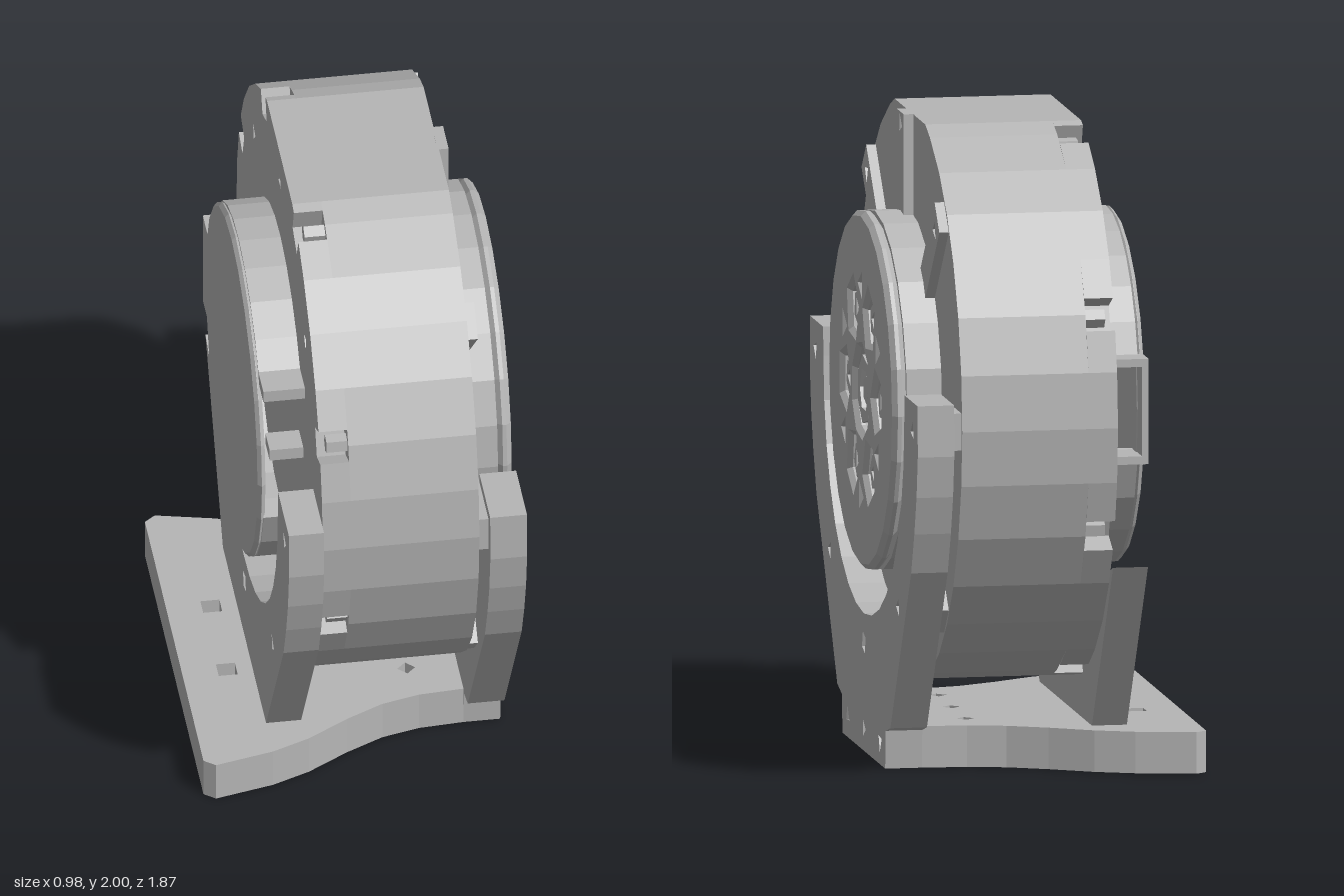
import * as THREE from 'three';

const CY = 1.13; // height of the drum axis
const steel = new THREE.MeshStandardMaterial({ color: 0xb6b6b6, flatShading: true });
steel.name = 'plain grey';

const rad = (d) => (d * Math.PI) / 180;
const polar = (r, deg, cy = CY) => [r * Math.cos(rad(deg)), cy + r * Math.sin(rad(deg))];
const ngon = (u, v, r, n, turn = 0) =>
  Array.from({ length: n }, (_, i) => {
    const a = turn + (i / n) * Math.PI * 2;
    return [u + r * Math.cos(a), v + r * Math.sin(a)];
  });
const toVec = (pts) => pts.map(([u, v]) => new THREE.Vector2(u, v));

export function createModel() {
  const model = new THREE.Group();

  const add = (geometry, name) => {
    const mesh = new THREE.Mesh(geometry, steel);
    mesh.name = name;
    model.add(mesh);
    return mesh;
  };
  // Plate with a side profile (u = -z, v = y), spanning x0 to x1
  const plate = (name, pts, x0, x1, holes = [], bevel = 0) => {
    const shape = new THREE.Shape(toVec(pts));
    for (const h of holes) shape.holes.push(new THREE.Path(toVec(h)));
    const g = new THREE.ExtrudeGeometry(shape, {
      depth: x1 - x0 - 2 * bevel, curveSegments: 1, bevelEnabled: bevel > 0,
      bevelThickness: bevel, bevelSize: bevel, bevelOffset: -bevel, bevelSegments: 1,
    });
    g.translate(0, 0, x0 + bevel);
    g.rotateY(Math.PI / 2);
    return add(g, name);
  };
  const box = (name, x0, x1, y0, y1, z0, z1) => {
    const g = new THREE.BoxGeometry(x1 - x0, y1 - y0, z1 - z0);
    g.translate((x0 + x1) / 2, (y0 + y1) / 2, (z0 + z1) / 2);
    return add(g, name);
  };

  // Drum outline: flat at top and bottom, optional bolt notches in the rim
  const drumOutline = (notched) => {
    const pts = [];
    const R = 0.907;
    for (const side of [0, 180]) {
      for (const a of [-73, -67.5, -56, -45, -34, -22.5, -11, 0, 11, 22.5, 34, 45, 56, 67.5, 73]) {
        const isNotch = Math.abs(a) === 22.5 || Math.abs(a) === 67.5;
        if (notched && isNotch) {
          const w = 3.3;
          for (const [r, d] of [[R, -w], [R - 0.08, -w], [R - 0.08, w], [R, w]]) pts.push(polar(r, side + a + d));
        } else pts.push(polar(R, side + a));
      }
    }
    return pts;
  };
  const eighths = [0, 1, 2, 3, 4, 5, 6, 7].map((i) => i * 45);
  plate('drum', drumOutline(false), -0.07, 0.33);
  plate('drumNotchedRim', drumOutline(true), -0.16, -0.07,
    eighths.map((a) => ngon(...polar(0.76, a), 0.03, 3, rad(a))));

  // Bolts sitting in the rim notches
  for (const a of eighths) {
    plate('rimBolt', ngon(...polar(0.86, a + 22.5), 0.03, 5, rad(a)), -0.135, -0.07);
  }

  // Raised spokes on the drum's face, each with a small hole
  for (const a of eighths) {
    const c = Math.cos(rad(a)), s = Math.sin(rad(a));
    const end = a % 180 === 90 ? 0.868 : 0.895;
    const at = (r, t) => [r * c - t * s, CY + r * s + t * c];
    plate('spoke', [at(0.5, -0.058), at(end, -0.058), at(end, 0.058), at(0.5, 0.058)], 0.325, 0.36,
      [ngon(...at(0.83, 0), 0.032, 3, rad(a + 20))]);
  }

  // Output hub: solid back, drilled face with bolt pockets
  const sixths = [0, 1, 2, 3, 4, 5].map((i) => i * 60);
  const hubRim = ngon(0, CY, 0.56, 24);
  plate('hubBody', hubRim, 0.33, 0.44);
  plate('hubFace', hubRim, 0.44, 0.485, [
    ngon(0, CY, 0.14, 9),
    ...sixths.map((a) => ngon(...polar(0.275, a), 0.092, 5, rad(a + 180))),
    ...sixths.map((a) => ngon(...polar(0.33, a + 30), 0.03, 3, rad(a))),
  ], 0.016);
  for (const a of sixths) {
    plate('hubBolt', ngon(...polar(0.275, a), 0.058, 5, rad(a + 20)), 0.44, 0.47,
      [ngon(...polar(0.275, a), 0.034, 3, rad(a))]);
  }
  plate('shaftCollar', ngon(0, CY, 0.11, 7), 0.44, 0.475, [ngon(0, CY, 0.07, 6)]);
  plate('shaftEnd', ngon(0, CY, 0.045, 5), 0.44, 0.47);

  // Cradle brackets with a round opening
  const arc = (from, to, n) =>
    Array.from({ length: n + 1 }, (_, i) => polar(0.7, from + ((to - from) * i) / n));
  const outer = [[0.46, 0.14], [0.64, 0.41], [0.82, 0.68], [0.875, 0.81], [0.913, 0.93], [0.935, 1.06], [0.932, 1.22]];
  const mirror = (pts) => pts.map(([u, v]) => [-u, v]).reverse();
  const hole = (u, v) => ngon(u, v, 0.032, 3, u * 9);
  const armHoles = [hole(-0.84, CY), hole(-0.59, 0.54), hole(0.59, 0.54), ngon(0, 0.34, 0.036, 4, 0.5)];
  plate('rightBracket', [
    [-0.37, 0], [0.37, 0], [0.38, 0.12], ...outer, [0.705, 1.22],
    ...arc(0, -180, 16), [-0.705, 1.22], ...mirror(outer), [-0.38, 0.12],
  ], 0.36, 0.475, [...armHoles, hole(0.84, CY), hole(-0.28, 0.07), hole(0, 0.07), hole(0.28, 0.07)]);
  // The back arm of this bracket is cut short to clear the socket
  plate('leftBracket', [
    [-0.45, 0.125], [0.45, 0.125], ...outer.slice(0, 3),
    ...arc(-58, -180, 12), [-0.705, 1.22], ...mirror(outer),
  ], -0.27, -0.16, armHoles);

  // Motor cover: wall in two arcs, cap, and a socket facing the back
  const wall = (from, to) => {
    const n = 10, pts = [];
    for (let i = 0; i <= n; i++) pts.push(polar(0.555, from + ((to - from) * i) / n));
    for (let i = n; i >= 0; i--) pts.push(polar(0.48, from + ((to - from) * i) / n));
    return pts;
  };
  plate('coverWallTop', wall(16, 143), -0.29, -0.155);
  plate('coverWallBottom', wall(194, 344), -0.29, -0.155);
  plate('coverCap', ngon(0, CY, 0.555, 24), -0.31, -0.285, [], 0.012);
  box('socketOuterSide', -0.308, -0.288, 0.97, 1.3, -0.62, -0.45);
  box('socketInnerSide', -0.185, -0.16, 0.97, 1.3, -0.62, -0.45);
  box('socketTop', -0.288, -0.185, 1.275, 1.3, -0.62, -0.45);
  box('socketBottom', -0.288, -0.185, 0.97, 0.995, -0.62, -0.45);
  box('openingSill', -0.27, -0.165, 1.21, 1.25, 0.44, 0.53);
  box('openingLintel', -0.29, -0.16, 1.44, 1.48, 0.4, 0.53);

  // Base plate, narrowing in a curve towards the right bracket
  const edge = [[-0.49, 0.615], [-0.455, 0.643], [-0.27, 0.6], [-0.15, 0.55], [-0.02, 0.47], [0.1, 0.41], [0.22, 0.38], [0.36, 0.37]];
  const base = new THREE.Shape(toVec([...edge, ...edge.map(([x, z]) => [x, -z]).reverse()]));
  const baseHoles = [-0.165, 0.16].map((z) => ngon(-0.35, z, 0.042, 4, Math.PI / 4));
  for (const z of [-0.3, 0, 0.3]) {
    baseHoles.push(ngon(-0.215, z, 0.028, 4), ngon(0.2, z * 0.8, 0.028, 4));
  }
  for (const h of baseHoles) base.holes.push(new THREE.Path(toVec(h)));
  const baseGeo = new THREE.ExtrudeGeometry(base, { depth: 0.13, bevelEnabled: false });
  baseGeo.rotateX(-Math.PI / 2);
  // holes follow z, so flip to match the mirrored shape axis
  add(baseGeo, 'basePlate');

  return model;
}
